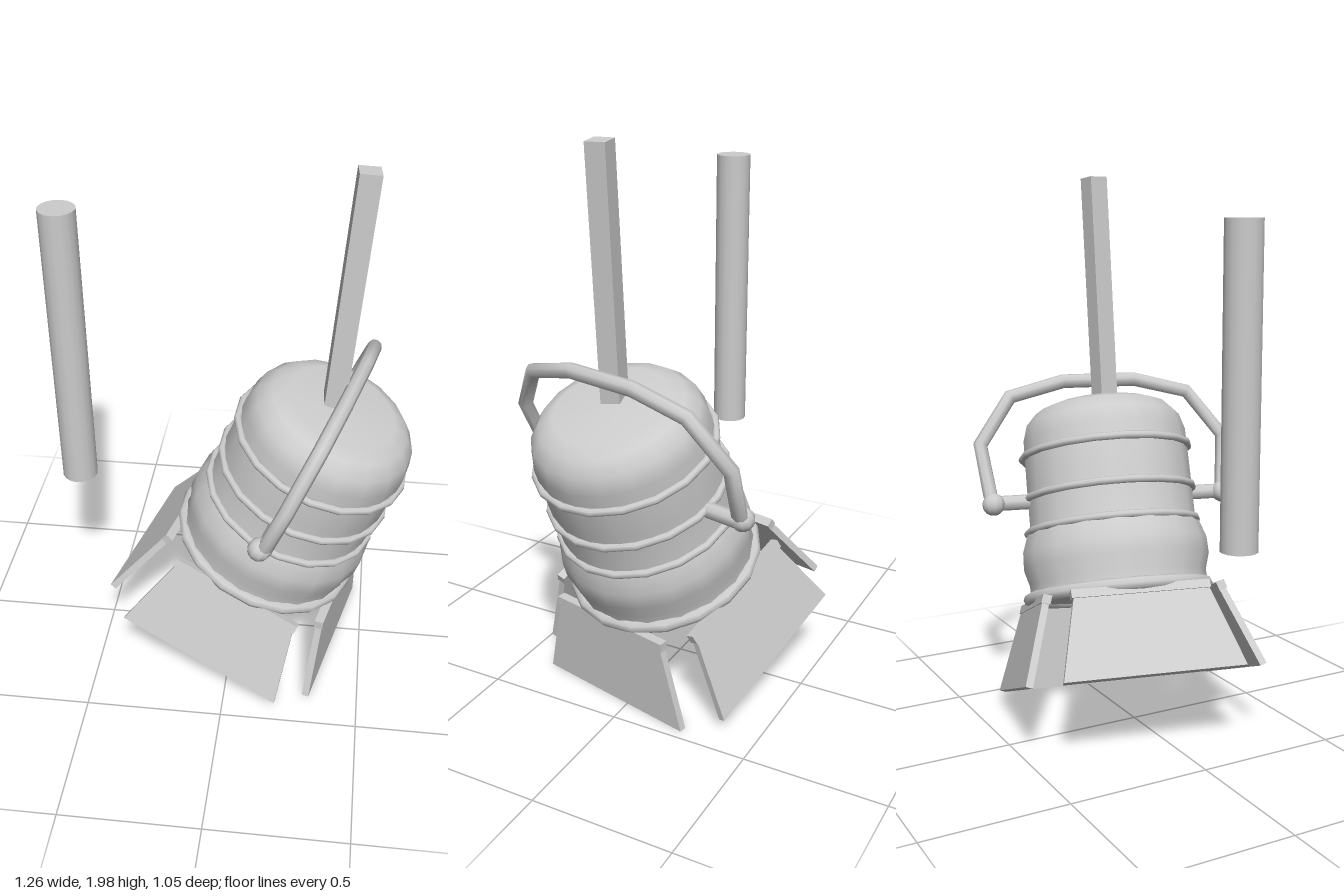
import * as THREE from 'three';

const metal = new THREE.MeshStandardMaterial({ color: 0xcccccc });
metal.name = 'light grey metal';

function add(parent, name, geometry, x = 0, y = 0, z = 0) {
  const mesh = new THREE.Mesh(geometry, metal);
  mesh.name = name;
  mesh.position.set(x, y, z);
  parent.add(mesh);
  return mesh;
}

// Tube with one straight section between each pair of points
function segmentedTube(points, radius) {
  const curve = new THREE.Curve();
  const last = points.length - 1;
  curve.getPoint = (t, target = new THREE.Vector3()) => {
    const i = Math.min(Math.floor(t * last + 1e-9), last - 1);
    return target.lerpVectors(points[i], points[i + 1], t * last - i);
  };
  curve.getUtoTmapping = (u) => u;
  return new THREE.TubeGeometry(curve, last, radius, 8);
}

// Hinged flap: a trapezoid plate hanging outward from its hinge bar
function makeFlap() {
  const flap = new THREE.Group();
  flap.name = 'flap';
  const plate = new THREE.Shape([
    new THREE.Vector2(-0.24, 0), new THREE.Vector2(-0.32, -0.31),
    new THREE.Vector2(0.32, -0.31), new THREE.Vector2(0.24, 0),
  ]);
  const depth = 0.025;
  add(flap, 'flapPlate', new THREE.ExtrudeGeometry(plate, { depth, bevelEnabled: false }), 0, 0, -depth / 2);
  add(flap, 'hingeBar', new THREE.BoxGeometry(0.5, 0.032, 0.032));
  flap.position.set(0, -0.015, 0.32);
  flap.rotation.x = -0.32;
  return flap;
}

function makeLamp() {
  const lamp = new THREE.Group();
  lamp.name = 'lamp';

  // Housing with a flared mouth and rounded top
  const profile = [
    [0.335, 0], [0.332, 0.06], [0.35, 0.12], [0.348, 0.18], [0.328, 0.24], [0.314, 0.27],
    [0.314, 0.42], [0.312, 0.6], [0.295, 0.66], [0.255, 0.705], [0.2, 0.727], [0, 0.73],
  ].map(([r, h]) => new THREE.Vector2(r, h));
  add(lamp, 'housing', new THREE.LatheGeometry(profile, 18));
  add(lamp, 'lens', new THREE.CircleGeometry(0.335, 18)).rotation.x = Math.PI / 2;

  // Rim and ribs
  for (const [name, r, h, tube] of [
    ['rim', 0.332, 0.01, 0.024], ['rib', 0.32, 0.255, 0.014],
    ['rib', 0.318, 0.38, 0.014], ['rib', 0.318, 0.54, 0.014],
  ]) {
    add(lamp, name, new THREE.TorusGeometry(r, tube, 8, 18), 0, h, 0).rotation.x = Math.PI / 2;
  }

  // Four flaps around the mouth
  for (let i = 0; i < 4; i++) {
    const arm = new THREE.Group();
    arm.name = 'flapMount';
    arm.rotation.y = (i * Math.PI) / 2;
    arm.add(makeFlap());
    lamp.add(arm);
  }

  // Carrying yoke, mirrored about the middle, with pivots at both ends
  const half = [[-0.03, 0.36, 0.445], [0, 0.4, 0.452], [0, 0.595, 0.475], [0, 0.775, 0.35], [0, 0.83, 0.14]];
  const path = [...half, ...half.map(([x, y, z]) => [x, y, -z]).reverse()];
  add(lamp, 'yoke', segmentedTube(path.map((p) => new THREE.Vector3(...p)), 0.027));
  for (const side of [1, -1]) {
    add(lamp, 'pivotKnob', new THREE.SphereGeometry(0.042, 10, 8), -0.015, 0.365, side * 0.445);
    add(lamp, 'pivotPin', new THREE.CylinderGeometry(0.028, 0.028, 0.14, 8), 0, 0.37, side * 0.375)
      .rotation.x = Math.PI / 2;
  }

  lamp.position.set(0.116, 0.463, 0);
  lamp.rotation.set(0, -0.232, -0.384, 'YXZ');
  return lamp;
}

export function createModel() {
  const model = new THREE.Group();
  model.name = 'stageLamp';
  model.add(makeLamp());

  // Square hanging pole
  const pole = add(model, 'hangingPole', new THREE.BoxGeometry(0.072, 0.88, 0.07), 0.382, 1.557, 0.06);
  pole.rotation.set(0, 0.1, -0.083, 'YXZ');

  // Separate round rod
  add(model, 'rod', new THREE.CylinderGeometry(0.063, 0.063, 1.05, 16), -0.566, 1.305, 0.075);
  return model;
}
